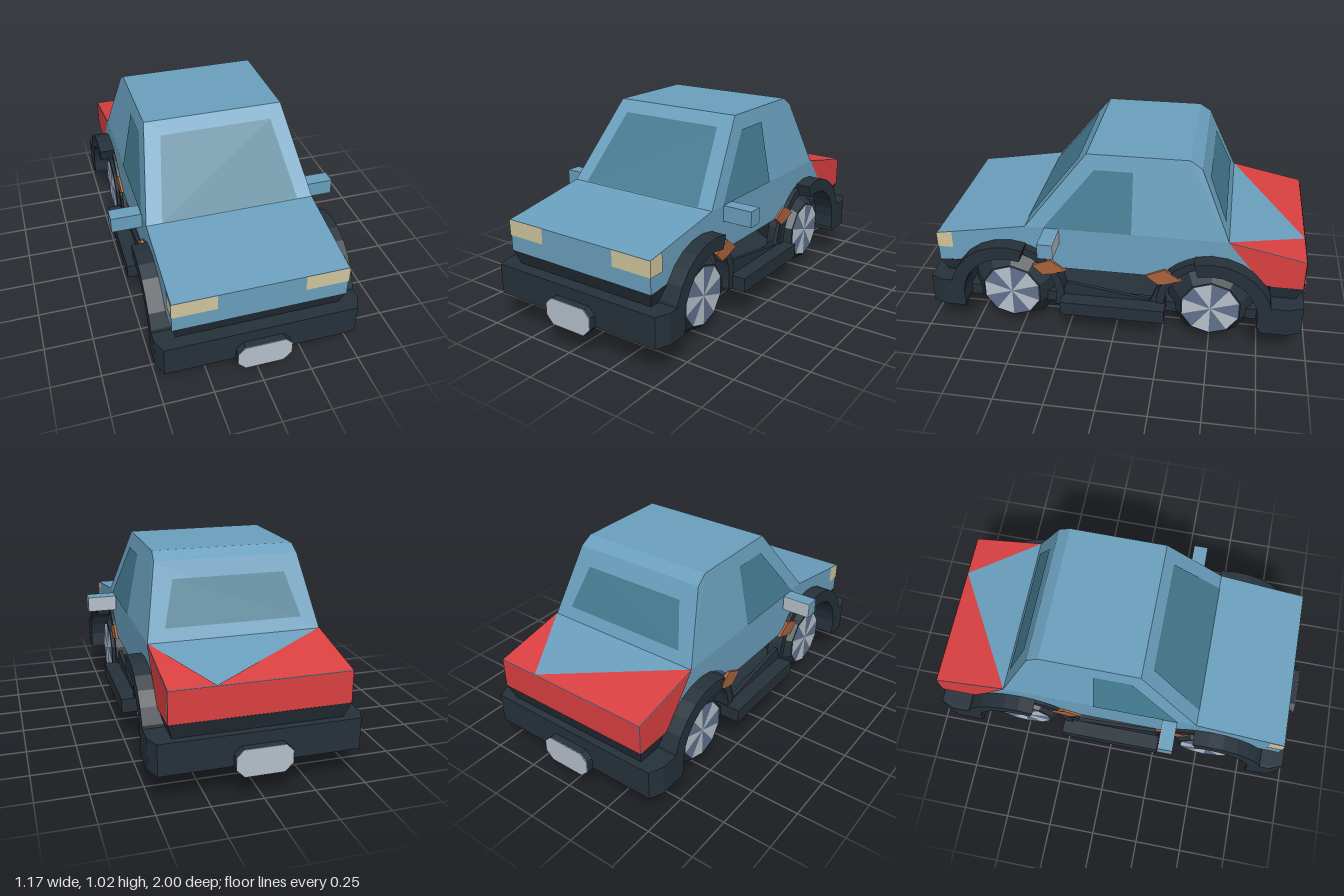
import * as THREE from 'three';
import { ConvexGeometry } from 'three/addons/geometries/ConvexGeometry.js';

const mat = (name, color, side = THREE.FrontSide) => {
  const m = new THREE.MeshStandardMaterial({ color, side });
  m.name = name;
  return m;
};

export function createModel() {
  const car = new THREE.Group();
  car.name = 'car';
  const blue = mat('body blue', 0x6a9fbd);
  const dark = mat('dark trim', 0x26313a);
  const glass = mat('window glass', 0x457c92, THREE.DoubleSide);
  const red = mat('tail red', 0xdb4041, THREE.DoubleSide);
  const cream = mat('headlight cream', 0xd0c59c, THREE.DoubleSide);
  const orange = mat('marker orange', 0xa7623c);
  const silver = mat('silver', 0xb6c0cb, THREE.DoubleSide);
  const slate = mat('hub slate', 0x61718d);

  const add = (name, geometry, material, parent = car) => {
    const mesh = new THREE.Mesh(geometry, material);
    mesh.name = name;
    parent.add(mesh);
    return mesh;
  };
  const box = (x0, x1, y0, y1, z0, z1) =>
    new THREE.BoxGeometry(Math.abs(x1 - x0), y1 - y0, z1 - z0)
      .translate((x0 + x1) / 2, (y0 + y1) / 2, (z0 + z1) / 2);
  const shapeOf = (pts) => new THREE.Shape(pts.map(([a, b]) => new THREE.Vector2(a, b)));
  // Side profile of [z, y] points, extruded from x0 to x1
  const profile = (pts, x0, x1) =>
    new THREE.ExtrudeGeometry(shapeOf(pts), { depth: x1 - x0, bevelEnabled: false })
      .rotateY(-Math.PI / 2).translate(x1, 0, 0);
  // Solid spanned by points, each mirrored in x
  const hull = (pts) => new ConvexGeometry(pts.flatMap(([x, y, z]) =>
    [new THREE.Vector3(x, y, z), new THREE.Vector3(-x, y, z)]));
  // Thin flat face through 3D corners
  const plate = (pts) => {
    const g = new THREE.BufferGeometry().setAttribute('position',
      new THREE.Float32BufferAttribute(pts.flat(), 3));
    const index = [];
    for (let i = 1; i < pts.length - 1; i++) index.push(0, i, i + 1);
    g.setIndex(index);
    g.computeVertexNormals();
    return g;
  };
  const arc = (cz, r, from, to, n) => Array.from({ length: n + 1 }, (_, i) => {
    const a = THREE.MathUtils.degToRad(from + (to - from) * i / n);
    return [cz + r * Math.cos(a), 0.235 + r * Math.sin(a)];
  });

  const FRONT = 0.54, REAR = -0.5;

  // Lower body with wheel cut-outs
  add('lowerBody', profile([
    [0.92, 0.39], [0.92, 0.55], [0.45, 0.63], [-0.57, 0.63], [-0.95, 0.55], [-0.95, 0.395],
    ...arc(REAR, 0.305, 148, 32, 10), ...arc(FRONT, 0.305, 148, 32, 10),
  ], -0.43, 0.43), blue);

  // Cabin
  add('cabin', hull([
    [0.43, 0.63, 0.45], [0.355, 1.02, 0.14], [0.355, 1.02, -0.36],
    [0.36, 0.98, -0.42], [0.43, 0.63, -0.57],
  ]), blue);

  // Front and rear windows lie just off the sloped cabin faces
  const windshield = (x, y) => [x, y + 0.003, 0.453 - (y - 0.63) * 0.795];
  add('windshield', plate([windshield(-0.35, 0.632), windshield(0.35, 0.632),
    windshield(0.285, 0.96), windshield(-0.285, 0.96)]), glass);
  const backGlass = (x, y) => [x, y, -0.574 + (y - 0.63) * 0.4286];
  add('rearWindow', plate([backGlass(-0.34, 0.69), backGlass(0.34, 0.69),
    backGlass(0.28, 0.9), backGlass(-0.28, 0.9)]), glass);

  // Tail panels: rear face and two triangles on the deck
  add('tailPanel', plate([[-0.43, 0.395, -0.953], [-0.43, 0.55, -0.953],
    [0.43, 0.55, -0.953], [0.43, 0.395, -0.953]]), red);
  add('deckPanelWide', plate([[-0.43, 0.633, -0.57], [0.21, 0.553, -0.95], [-0.43, 0.553, -0.95]]), red);
  add('deckPanelNarrow', plate([[0.43, 0.633, -0.57], [0.43, 0.553, -0.95], [0.21, 0.553, -0.95]]), red);

  // Chassis floor
  add('floor', box(-0.4, 0.4, 0.16, 0.22, -0.9, 0.9), dark);

  // Bumpers, necks and number plates at both ends
  for (const [end, s, inner] of [['front', 1, 0.78], ['rear', -1, 0.75]]) {
    add(end + 'Bumper', hull([0.16, 0.315].flatMap((y) => [
      [0.51, y, s * inner], [0.51, y, s * 0.89], [0.48, y, s * 0.96]])), dark);
    const tip = s > 0 ? 0.92 : 0.95;
    add(end + 'Neck', hull([
      [0.405, 0.31, s * (tip - 0.03)], [0.43, 0.393, s * tip],
      [0.405, 0.31, s * 0.78], [0.43, 0.393, s * 0.79]]), dark);
    const outline = [[0.095, 0.12], [0.135, 0.16], [0.135, 0.22], [0.1, 0.255]];
    add(end + 'PlateHolder', hull(outline.flatMap(([x, y]) =>
      [[x, y, s * 0.95], [x, y, s * 0.997]])), dark);
    add(end + 'NumberPlate', hull(outline.flatMap(([x, y]) =>
      [[x, y, s * 0.997], [x, y, s]])), silver);
  }

  // Ten-sided wheel with a ridged tyre and two-tone hubs on both faces
  const tyre = new THREE.LatheGeometry(
    [[0, -0.11], [0.158, -0.11], [0.235, 0], [0.158, 0.11], [0, 0.11]]
      .map(([r, h]) => new THREE.Vector2(r, h)), 10, Math.PI / 2)
    .rotateZ(-Math.PI / 2).toNonIndexed();
  tyre.computeVertexNormals();
  const hub = new THREE.CircleGeometry(0.15, 10, Math.PI / 2);
  for (let i = 0; i < 10; i++) hub.addGroup(i * 3, 3, i % 2);

  for (const s of [1, -1]) {
    const side = s > 0 ? 'left' : 'right';
    // Extrusion on one side only, mirrored by swapping its x limits
    const sideProfile = (pts, x0, x1) => s > 0 ? profile(pts, x0, x1) : profile(pts, -x1, -x0);

    for (const [end, z, d] of [['Front', FRONT, 1], ['Rear', REAR, -1]]) {
      const wheel = new THREE.Group();
      wheel.name = side + end + 'Wheel';
      wheel.position.set(s * 0.335, 0.235, z);
      add('tyre', tyre, dark, wheel);
      for (const f of [1, -1]) {
        const cap = add('hub', hub, [silver, slate], wheel);
        cap.position.x = f * 0.113;
        cap.rotation.y = f * Math.PI / 2;
      }
      car.add(wheel);

      // Wheel arch: wide flare towards the bumper, slim tail towards the sill
      const ring = (r0, r1, a, b) => {
        const t = (v) => d > 0 ? v : 180 - v;
        return [...arc(z, r1, t(a), t(b), 8), ...arc(z, r0, t(b), t(a), 8)];
      };
      add(side + end + 'Arch', sideProfile(ring(0.24, 0.31, -12, 107), 0.4, 0.51), dark);
      add(side + end + 'ArchTail', sideProfile(ring(0.238, 0.28, 107, 195), 0.36, 0.44), dark);
    }

    // Sill with its jagged inner panel
    add(side + 'Sill', box(s * 0.38, s * 0.51, 0.16, 0.235, -0.27, 0.27), dark);
    add(side + 'SillPanel', sideProfile([[0.305, 0.16], [0.245, 0.31], [-0.19, 0.24],
      [-0.235, 0.36], [-0.265, 0.16]], 0.41, 0.43), dark);

    // Orange markers
    add(side + 'FrontMarker', sideProfile([[0.425, 0.405], [0.325, 0.445],
      [0.245, 0.385], [0.37, 0.35]], 0.425, 0.442), orange);
    add(side + 'RearMarker', sideProfile([[-0.165, 0.4], [-0.26, 0.445],
      [-0.35, 0.385], [-0.23, 0.35]], 0.425, 0.442), orange);

    // Side window on the leaning cabin side
    add(side + 'Window', plate([[0.355, 0.632], [0.1, 0.945], [-0.09, 0.945], [-0.09, 0.632]]
      .map(([z, y]) => [s * (0.434 - (y - 0.63) * 0.1923), y, z])), glass);

    // Door mirror with silver rear face
    add(side + 'Mirror', box(s * 0.41, s * 0.585, 0.55, 0.63, 0.278, 0.35), blue);
    add(side + 'MirrorGlass', box(s * 0.435, s * 0.585, 0.55, 0.63, 0.274, 0.278), silver);

    // Headlight wrapping around the corner
    add(side + 'Headlight', plate([[s * 0.215, 0.47, 0.923], [s * 0.433, 0.47, 0.923],
      [s * 0.433, 0.55, 0.923], [s * 0.215, 0.55, 0.923]]), cream);
    add(side + 'HeadlightSide', plate([[s * 0.433, 0.47, 0.923], [s * 0.433, 0.47, 0.84],
      [s * 0.433, 0.563, 0.84], [s * 0.433, 0.55, 0.923]]), cream);

    // Red rear quarter
    add(side + 'TailQuarter', plate([[-0.95, 0.55], [-0.57, 0.63], [-0.72, 0.445],
      [-0.77, 0.395], [-0.95, 0.395]].map(([z, y]) => [s * 0.433, y, z])), red);
  }
  return car;
}
